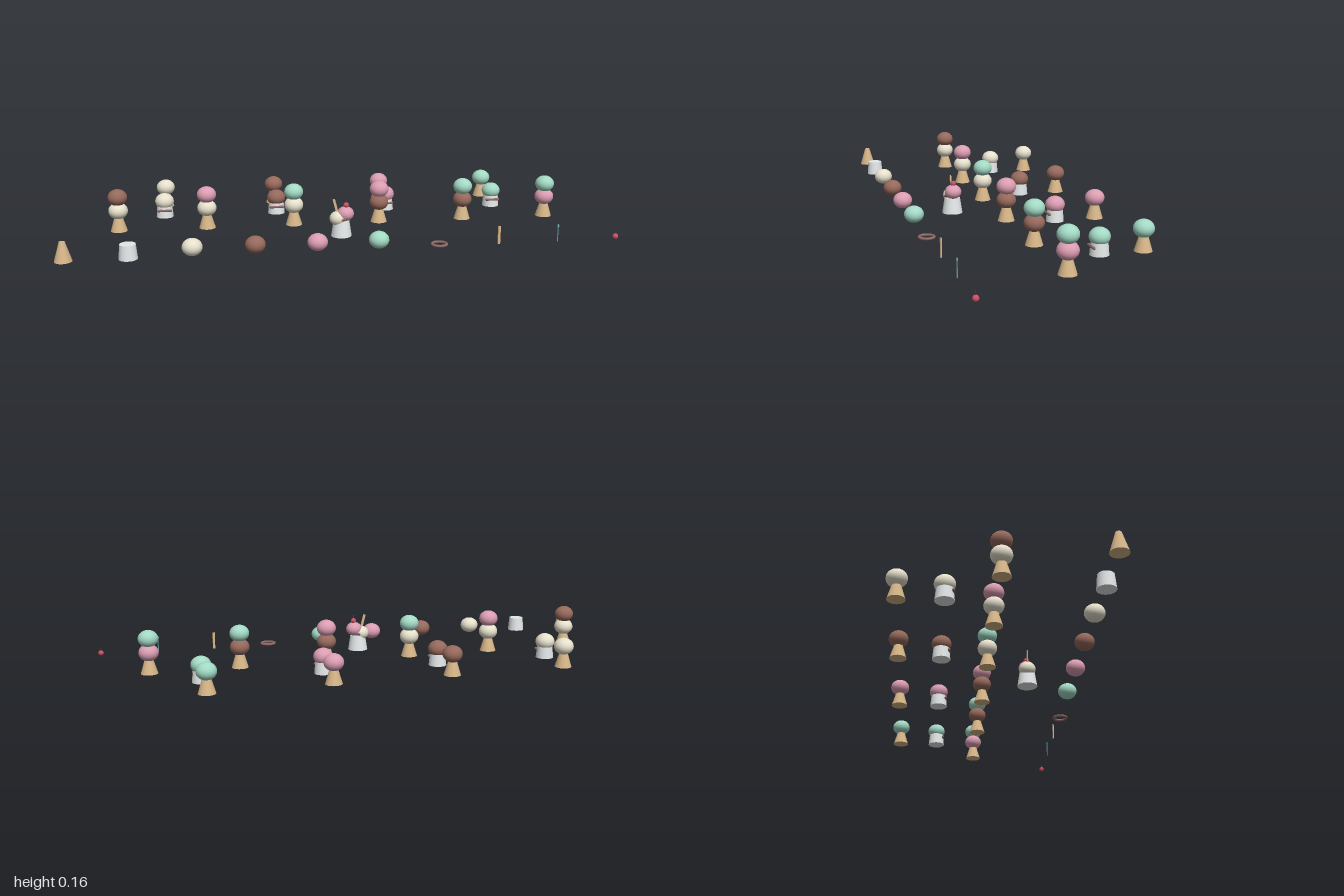
import * as THREE from 'three';

const mat = (color) => new THREE.MeshStandardMaterial({ color });
const cream = mat(0xe6e0cc), brown = mat(0x96695c), pink = mat(0xdb9db2), mint = mat(0xa3d9c5);
const waffle = mat(0xd6b588), paper = mat(0xe4e8e8), sauce = mat(0x8f6a66);
const red = mat(0xcc5068), teal = mat(0x6f9fa8), dark = mat(0x5a4038);
const flavours = [cream, brown, pink, mint];

const scoopGeo = new THREE.SphereGeometry(0.036, 24, 16).scale(1, 0.86, 1);
const coneGeo = new THREE.CylinderGeometry(0.010, 0.031, 0.07, 24).translate(0, 0.035, 0);
const cupGeo = new THREE.CylinderGeometry(0.028, 0.033, 0.053, 24).translate(0, 0.0265, 0);
const ringGeo = new THREE.TorusGeometry(0.026, 0.005, 10, 32).rotateX(Math.PI / 2);
const bandGeo = new THREE.CapsuleGeometry(0.005, 0.048, 4, 10).rotateZ(Math.PI / 2);
const waferGeo = new THREE.BoxGeometry(0.009, 0.065, 0.005).translate(0, 0.0325, 0);

function add(parent, name, geometry, material, x = 0, y = 0, z = 0) {
  const mesh = new THREE.Mesh(geometry, material);
  mesh.name = name;
  mesh.position.set(x, y, z);
  parent.add(mesh);
  return mesh;
}

function group(parent, name, x, y, z) {
  const g = new THREE.Group();
  g.name = name;
  g.position.set(x, y, z);
  parent.add(g);
  return g;
}

// Round fruit with a thin stem, centre at the given point
function cherry(parent, x, y, z) {
  const g = group(parent, 'cherry', x, y, z);
  add(g, 'fruit', new THREE.SphereGeometry(0.0105, 16, 12), red);
  add(g, 'stem', new THREE.CylinderGeometry(0.0015, 0.0015, 0.014, 8), dark, 0, 0.015, 0);
}

// Cone with any number of stacked scoops
function filledCone(parent, name, x, z, scoops) {
  const g = group(parent, name, x, 0, z);
  add(g, 'cone', coneGeo, waffle);
  scoops.forEach((m, i) => add(g, 'scoop', scoopGeo, m, 0, 0.077 + i * 0.051, 0));
}

export function createModel() {
  const root = new THREE.Group();
  root.name = 'iceCreamSet';

  // Back rows: one scoop on a cone, one scoop in a cup
  flavours.forEach((m, i) => {
    const x = -0.645 + i * 0.435;
    filledCone(root, 'singleCone', x, -0.328, [m]);
    const g = group(root, 'scoopCup', x, 0, -0.174);
    add(g, 'cup', cupGeo, paper);
    add(g, 'scoop', scoopGeo, m, 0, 0.062, 0);
    add(g, 'cupBand', bandGeo, sauce, 0, 0.03, 0.028);
  });

  // Middle row: every pair of flavours as a double cone
  let n = 0;
  for (let a = 0; a < 3; a++) {
    for (let b = a + 1; b < 4; b++) {
      filledCone(root, 'doubleCone', -0.808 + 0.3265 * n++, -0.005, [flavours[a], flavours[b]]);
    }
  }

  // Sundae with scoops, sauce ring, wafer and cherry
  const sundae = group(root, 'sundae', 0.005, 0, 0.157);
  add(sundae, 'sundaeCup', new THREE.CylinderGeometry(0.029, 0.038, 0.058, 24), paper, 0, 0.029, 0);
  add(sundae, 'creamScoop', scoopGeo, cream, -0.012, 0.066, 0).scale.setScalar(0.88);
  add(sundae, 'pinkScoop', scoopGeo, pink, 0.015, 0.083, 0).scale.setScalar(0.86);
  add(sundae, 'sauceRing', ringGeo, sauce, 0.003, 0.066, 0).rotation.z = 0.3;
  add(sundae, 'wafer', waferGeo, waffle, -0.012, 0.075, 0).rotation.z = 0.25;
  cherry(sundae, 0.017, 0.115, 0);

  // Front row: each ingredient on its own
  const z = 0.326, at = (i) => -0.969 + 0.217 * i;
  add(root, 'cone', coneGeo, waffle, at(0), 0, z);
  add(root, 'cup', cupGeo, paper, at(1), 0, z);
  flavours.forEach((m, i) => add(root, 'scoop', scoopGeo, m, at(2 + i), 0.033, z));
  add(root, 'sauceRing', ringGeo, sauce, at(6), 0.008, z);
  add(root, 'wafer', waferGeo, waffle, at(7), 0, z);
  const spoon = group(root, 'spoon', at(8), 0, z);
  add(spoon, 'handle', new THREE.CylinderGeometry(0.002, 0.002, 0.055, 8), teal, 0, 0.0275, 0);
  add(spoon, 'bowl', new THREE.SphereGeometry(0.005, 12, 8).scale(0.8, 1.6, 0.6), teal, 0, 0.057, 0);
  cherry(root, at(9), 0.0105, z);

  return root;
}
